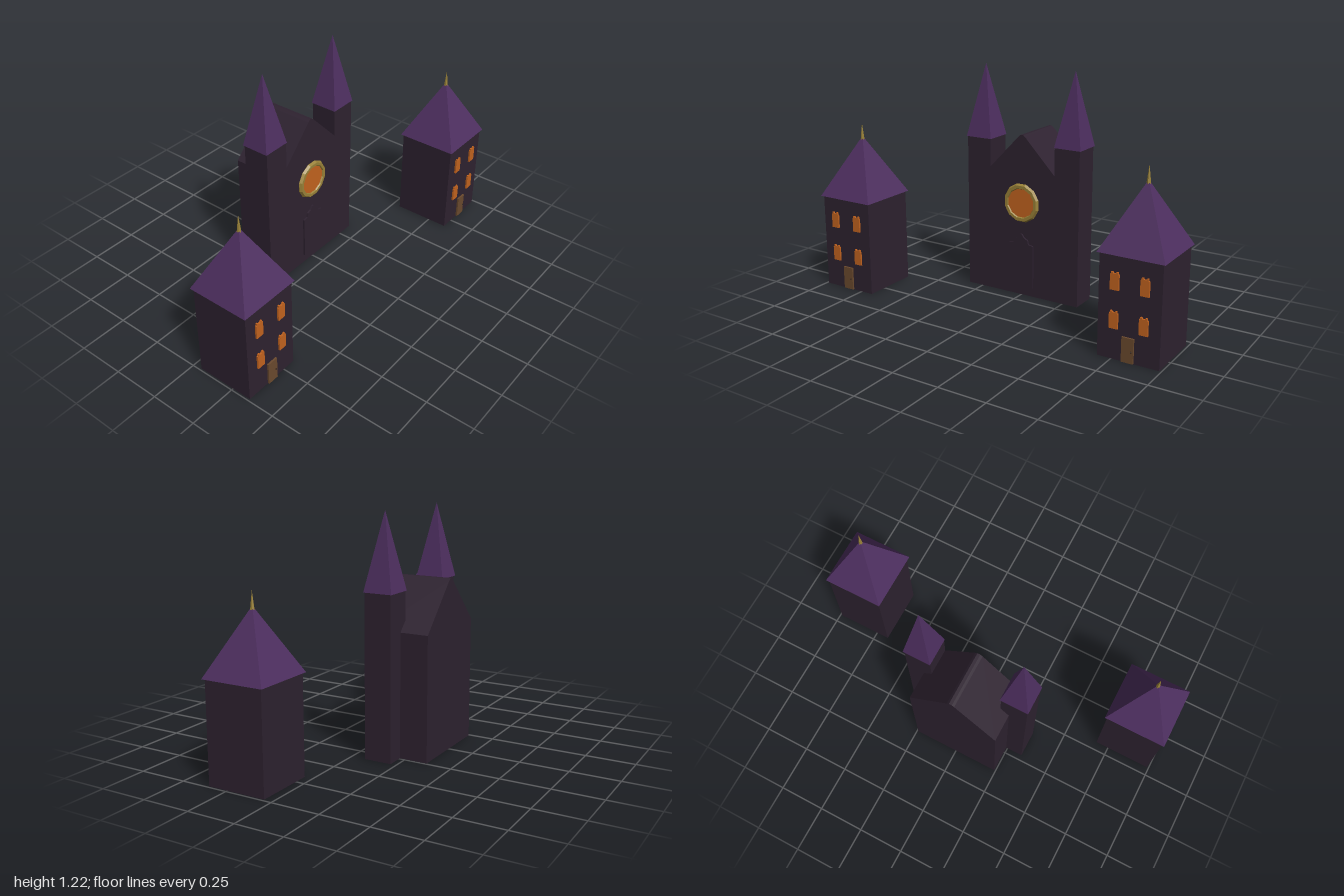
import * as THREE from 'three';

const mat = (name, color) => {
  const m = new THREE.MeshStandardMaterial({ color, flatShading: true });
  m.name = name;
  return m;
};

export function createModel() {
  const stone = mat('dark stone', 0x2e2230);
  const roof = mat('purple roof', 0x4e2f60);
  const glow = mat('orange glass', 0xc4641f);
  const gold = mat('old gold', 0x9a8238);
  const wood = mat('brown wood', 0x6b4a2e);
  const iron = mat('dark knob', 0x2a1c14);

  const add = (parent, name, geo, material, x = 0, y = 0, z = 0) => {
    const mesh = new THREE.Mesh(geo, material);
    mesh.name = name;
    mesh.position.set(x, y, z);
    parent.add(mesh);
    return mesh;
  };
  const box = (w, h, d) => new THREE.BoxGeometry(w, h, d).translate(0, h / 2, 0);
  // square pyramid standing on its base
  const pyramid = (w, h) =>
    new THREE.ConeGeometry(w / Math.SQRT2, h, 4).rotateY(Math.PI / 4).translate(0, h / 2, 0);
  // symmetric outline given by its right half, bottom to top, extruded along +z
  const symmetric = (half, depth) => {
    const pts = [...half, ...half.slice().reverse().map(([x, y]) => [-x, y])];
    return new THREE.ExtrudeGeometry(
      new THREE.Shape(pts.map(([x, y]) => new THREE.Vector2(x, y))),
      { depth, bevelEnabled: false });
  };

  const model = new THREE.Group();
  model.name = 'churchAndHouses';

  // Side houses
  const windowGeo = symmetric(
    [[0.022, 0], [0.022, 0.075], [0.017, 0.075], [0.017, 0.086], [0.009, 0.086], [0.006, 0.079]], 0.0095);
  const house = (name, x) => {
    const g = new THREE.Group();
    g.name = name;
    g.position.set(x, 0, 0.2);
    add(g, 'houseWalls', box(0.31, 0.503, 0.31), stone);
    add(g, 'houseRoof', pyramid(0.332, 0.32), roof, 0, 0.503);
    add(g, 'finial', new THREE.ConeGeometry(0.011, 0.09, 6), gold, 0, 0.848);
    for (const wx of [-0.074, 0.074])
      for (const wy of [0.153, 0.339]) add(g, 'houseWindow', windowGeo, glow, wx, wy, 0.155);
    add(g, 'houseDoor', box(0.06, 0.122, 0.0095), wood, 0, 0.002, 0.1597);
    add(g, 'doorKnob', new THREE.SphereGeometry(0.004, 8, 6), iron, 0.02, 0.06, 0.166);
    model.add(g);
  };
  house('rightHouse', -0.834);
  house('leftHouse', 0.834);

  // Church nave with a gabled roof and slightly blunt ridge
  const church = new THREE.Group();
  church.name = 'church';
  model.add(church);
  add(church, 'nave',
    symmetric([[0.242, 0], [0.242, 0.633], [0.02, 0.864], [0.008, 0.874]], 0.29),
    stone, 0, 0, -0.367);

  // Twin towers with steep spires
  for (const s of [-1, 1]) {
    add(church, 'tower', box(0.143, 0.832, 0.143), stone, s * 0.266, 0, -0.1485);
    add(church, 'spire', pyramid(0.152, 0.386), roof, s * 0.267, 0.83, -0.15);
  }

  // Round window in a faceted frame
  add(church, 'roseGlass',
    new THREE.CylinderGeometry(0.085, 0.085, 0.009, 24).rotateX(Math.PI / 2),
    glow, 0, 0.512, -0.0725);
  add(church, 'roseFrame', new THREE.TorusGeometry(0.09, 0.016, 6, 12).rotateZ(Math.PI / 12),
    gold, 0, 0.512, -0.075);

  // Church door with shoulders and a pointed arch
  add(church, 'churchDoor', symmetric(
    [[0.073, 0.05], [0.073, 0.285], [0.045, 0.29], [0.04, 0.312], [0.018, 0.324], [0.006, 0.342]], 0.0095),
  stone, 0, 0, -0.077);

  return model;
}
